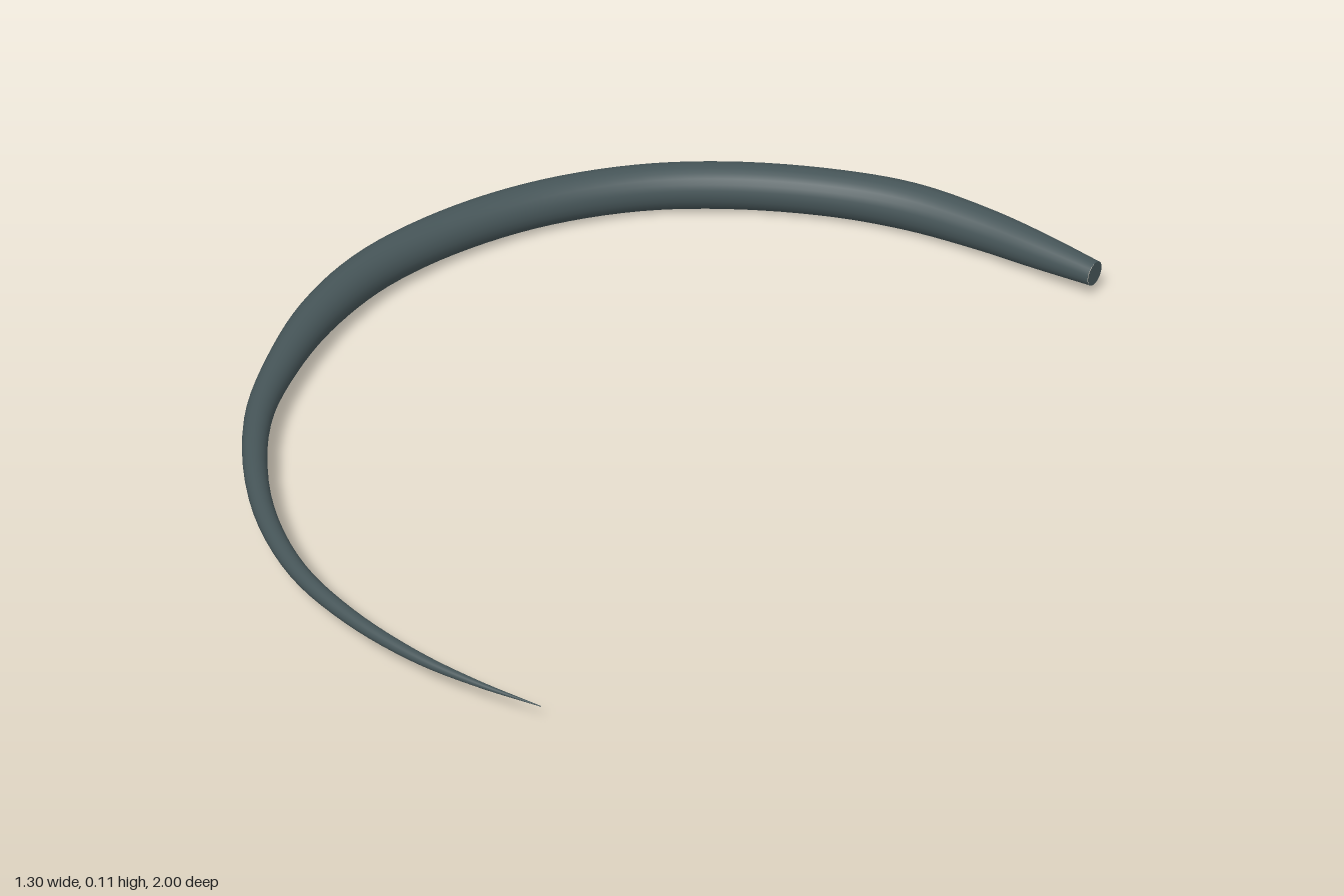
import * as THREE from 'three';

const MID_Y = 0.057;
const RINGS = 96;
const SIDES = 24;

// Centreline stations from blunt end to tip: x, radius, z
const stations = [
  [0.645, 0.028, -0.942], [0.5, 0.04, -0.949], [0.35, 0.048, -0.952], [0.17, 0.054, -0.935],
  [0, 0.054, -0.878], [-0.2, 0.054, -0.765], [-0.36, 0.053, -0.625], [-0.49, 0.052, -0.435],
  [-0.57, 0.051, -0.22], [-0.6, 0.049, 0], [-0.575, 0.045, 0.2], [-0.505, 0.036, 0.4],
  [-0.395, 0.028, 0.6], [-0.2, 0.022, 0.8], [0, 0.018, 0.92], [0.18, 0.015, 0.97],
  [0.36, 0.011, 0.986], [0.5, 0.006, 0.977], [0.63, 0.0008, 0.957],
].map((s) => new THREE.Vector3(...s));

// Round sections swept along the curve; the curve's y component carries the radius
function taperedSweep() {
  const curve = new THREE.CatmullRomCurve3(stations);
  const positions = [];
  const index = [];
  for (let i = 0; i <= RINGS; i++) {
    const c = curve.getPoint(i / RINGS);
    const t = curve.getTangent(i / RINGS).setY(0).normalize();
    for (let j = 0; j < SIDES; j++) {
      const a = (j / SIDES) * Math.PI * 2;
      const out = c.y * Math.cos(a);
      positions.push(c.x - t.z * out, MID_Y + c.y * Math.sin(a), c.z + t.x * out);
      if (i === RINGS) continue;
      const p = i * SIDES + j;
      const q = i * SIDES + ((j + 1) % SIDES);
      index.push(p, p + SIDES, q, q, p + SIDES, q + SIDES);
    }
  }
  const geometry = new THREE.BufferGeometry();
  geometry.setAttribute('position', new THREE.Float32BufferAttribute(positions, 3));
  geometry.setIndex(index);
  geometry.computeVertexNormals();
  return geometry;
}

export function createModel() {
  const group = new THREE.Group();
  group.name = 'curvedHorn';
  const material = new THREE.MeshStandardMaterial({ color: 0x465558 });

  // Curved tapering body
  const body = new THREE.Mesh(taperedSweep(), material);
  body.name = 'hornBody';
  group.add(body);

  // Flat disc closing the blunt end
  const end = stations[0];
  const cap = new THREE.Mesh(new THREE.CircleGeometry(end.y, SIDES), material);
  cap.name = 'bluntEndCap';
  cap.rotation.y = Math.PI / 2;
  cap.position.set(end.x, MID_Y, end.z);
  group.add(cap);

  return group;
}
